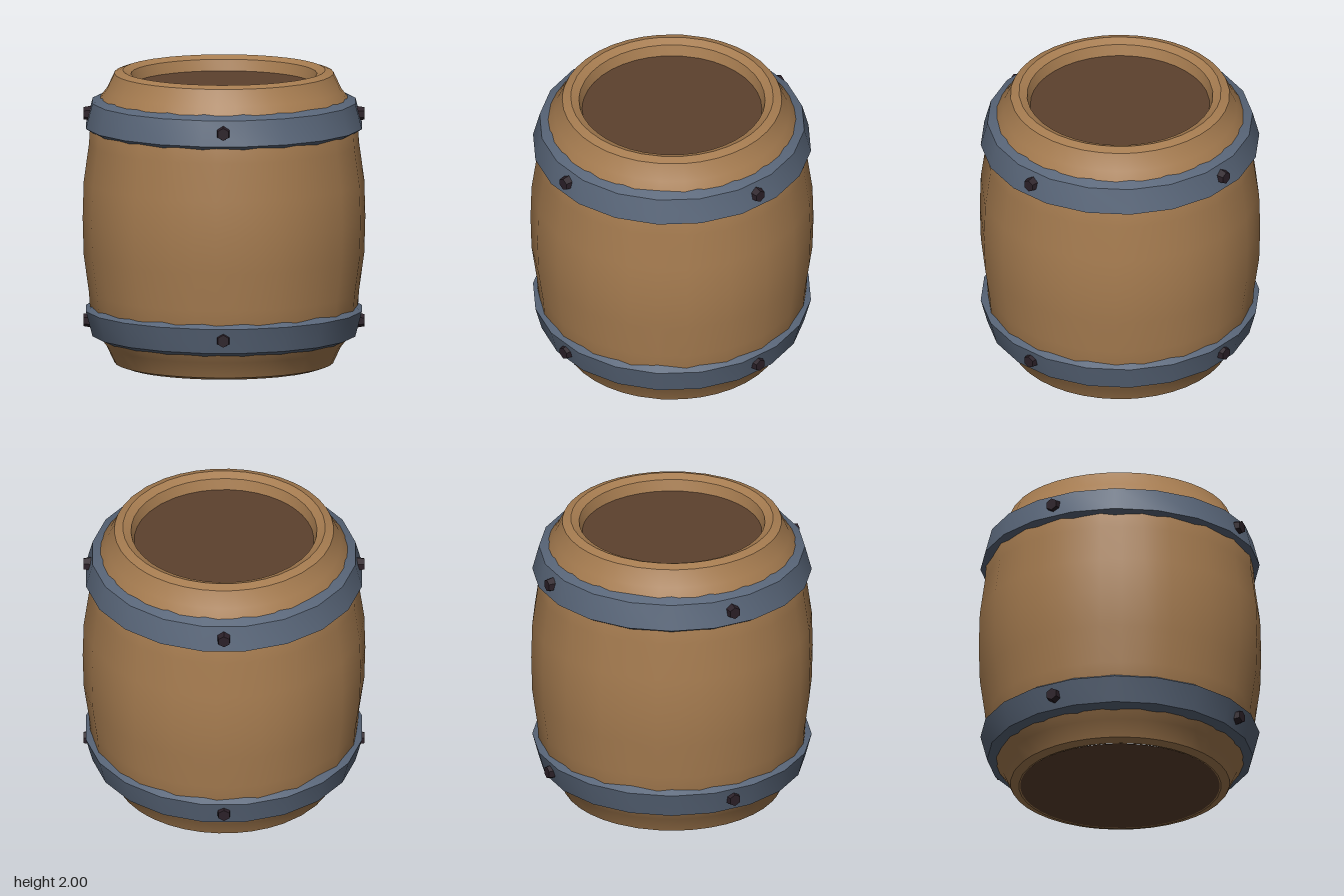
import * as THREE from 'three';
import { toCreasedNormals } from 'three/addons/utils/BufferGeometryUtils.js';

const CREASE = 0.6;

function material(name, color) {
  const m = new THREE.MeshStandardMaterial({ color });
  m.name = name;
  return m;
}

function ring(points, sides) {
  return new THREE.LatheGeometry(points.map(([r, y]) => new THREE.Vector2(r, y)), sides);
}

// Slightly uneven stave angles: narrow at front and back, wide at the sides
function staveAngle(i) {
  const quarter = [6, 24, 42, 60, 78];
  const k = i % 10;
  const half = k < 5 ? quarter[k] : 180 - quarter[9 - k];
  return THREE.MathUtils.degToRad(half + 180 * Math.floor(i / 10));
}

// Body of 20 staves: flat-faced around the bulge, round towards both rims
function staveBody(points) {
  const geo = ring(points, 40);
  const pos = geo.attributes.position;
  for (let i = 0; i < pos.count; i++) {
    const column = Math.floor(i / points.length);
    const stave = Math.floor(column / 2);
    let [r, y] = points[i % points.length];
    let a = staveAngle(stave);
    if (column % 2) {
      const halfStep = (staveAngle(stave + 1) - a) / 2;
      a += halfStep;
      const flat = 1 - THREE.MathUtils.smoothstep(Math.abs(y - 1), 0.55, 0.75);
      r *= THREE.MathUtils.lerp(1, Math.cos(halfStep), flat);
    }
    pos.setXYZ(i, r * Math.sin(a), y, r * Math.cos(a));
  }
  return toCreasedNormals(geo, CREASE);
}

export function createModel() {
  const group = new THREE.Group();
  group.name = 'barrel';
  const wood = material('wood', 0xa67c50);
  const darkWood = material('darkWood', 0x5c412e);
  const iron = material('iron', 0x596679);
  const boltMetal = material('boltMetal', 0x2b2028);

  const add = (name, geo, mat) => {
    const mesh = new THREE.Mesh(geo, mat);
    mesh.name = name;
    group.add(mesh);
    return mesh;
  };

  // Bulging body, symmetric about y = 1, with rims turned inward at both ends
  const lower = [
    [0.595, 0.13], [0.625, 0.025], [0.68, 0], [0.737, 0.02], [0.788, 0.13], [0.835, 0.19],
    [0.9, 0.38], [0.908, 0.5], [0.943, 0.75],
  ];
  const upper = lower.map(([r, y]) => [r, 2 - y]).reverse();
  add('body', staveBody([...lower, [0.95, 1], ...upper]), wood);

  // Recessed lid and flush base
  const lid = add('lid', new THREE.CircleGeometry(0.62, 40), darkWood);
  lid.rotation.x = -Math.PI / 2;
  lid.position.y = 1.9;
  const base = add('base', new THREE.CircleGeometry(0.67, 40), darkWood);
  base.rotation.x = Math.PI / 2;
  base.position.y = 0.002;

  // Iron hoops, mirrored top and bottom, each with four hexagonal bolts
  const hoop = [[0.86, 1.571], [0.938, 1.62], [0.893, 1.79], [0.78, 1.842]];
  const mirrored = hoop.map(([r, y]) => [r, 2 - y]).reverse();
  const boltGeo = new THREE.CylinderGeometry(0.042, 0.052, 0.06, 6).toNonIndexed();
  boltGeo.computeVertexNormals();
  boltGeo.rotateX(Math.PI / 2);
  for (const [name, profile, y] of [['upper', hoop, 1.705], ['lower', mirrored, 0.3]]) {
    add(name + 'Hoop', toCreasedNormals(ring(profile, 20), CREASE), iron);
    for (let i = 0; i < 4; i++) {
      const a = Math.PI / 4 + (i * Math.PI) / 2;
      const bolt = add(name + 'Bolt', boltGeo, boltMetal);
      bolt.position.set(0.912 * Math.sin(a), y, 0.912 * Math.cos(a));
      bolt.rotation.y = a;
    }
  }
  return group;
}
